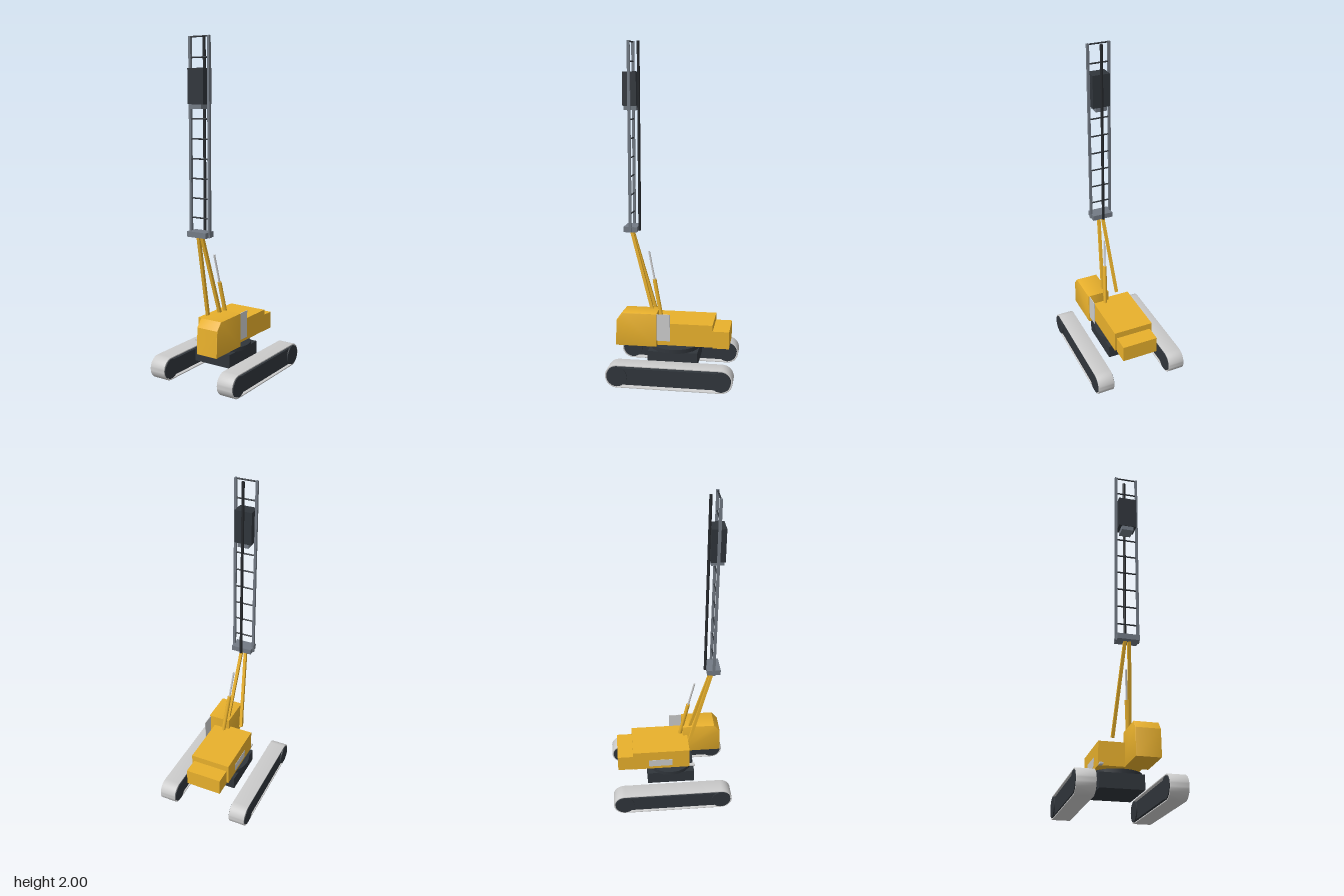
import * as THREE from 'three';
import { toCreasedNormals } from 'three/addons/utils/BufferGeometryUtils.js';

const mat = (color) => new THREE.MeshStandardMaterial({ color });
const grey = mat(0xcccccc), yellow = mat(0xe8b02c), dark = mat(0x30353b);
const steel = mat(0x727a84), black = mat(0x26292d);

export function createModel() {
  const root = new THREE.Group();

  const add = (name, geometry, material, parent = root) => {
    const mesh = new THREE.Mesh(geometry, material);
    mesh.name = name;
    parent.add(mesh);
    return mesh;
  };
  // Box given by its limits on each axis
  const box = (name, material, x0, x1, y0, y1, z0, z1, parent) => {
    const mesh = add(name, new THREE.BoxGeometry(x1 - x0, y1 - y0, z1 - z0), material, parent);
    mesh.position.set((x0 + x1) / 2, (y0 + y1) / 2, (z0 + z1) / 2);
    return mesh;
  };
  // Bar between two points, round or square
  const bar = (name, material, a, b, size, square = false, parent = root) => {
    const from = new THREE.Vector3(...a), to = new THREE.Vector3(...b);
    const length = from.distanceTo(to);
    const geometry = square ? new THREE.BoxGeometry(size, length, size)
      : new THREE.CylinderGeometry(size, size, length, 16);
    const mesh = add(name, geometry, material, parent);
    mesh.position.lerpVectors(from, to, 0.5);
    mesh.quaternion.setFromUnitVectors(new THREE.Vector3(0, 1, 0), to.sub(from).normalize());
    return mesh;
  };
  // Side profile in (z, y), extruded across x and centred on it
  const sideExtrude = (shape, width, bevel) => {
    const geometry = new THREE.ExtrudeGeometry(shape, {
      depth: width - 2 * bevel, curveSegments: 12, bevelSize: bevel, bevelThickness: bevel,
      bevelOffset: -bevel, bevelSegments: 2,
    });
    geometry.translate(0, 0, -(width - 2 * bevel) / 2).rotateY(-Math.PI / 2);
    return toCreasedNormals(geometry, 0.6);
  };

  // Crawler tracks
  const half = 0.305, mid = 0.07;
  const stadium = (Kind, r) => {
    const path = new Kind();
    path.moveTo(-half, -r);
    path.lineTo(half, -r);
    path.absarc(half, 0, r, -Math.PI / 2, Math.PI / 2, false);
    path.lineTo(-half, r);
    path.absarc(-half, 0, r, Math.PI / 2, Math.PI * 1.5, false);
    return path;
  };
  for (const side of [-1, 1]) {
    const track = new THREE.Group();
    track.name = side > 0 ? 'leftTrack' : 'rightTrack';
    track.position.set(side * 0.24, mid, 0);
    root.add(track);
    const belt = stadium(THREE.Shape, 0.07);
    belt.holes.push(stadium(THREE.Path, 0.062));
    add('trackBelt', sideExtrude(belt, 0.104, 0.003), grey, track);
    box('trackFrame', dark, -0.048, 0.048, -0.05, 0.05, -half, half, track);
    for (const z of [-half, half]) {
      const wheel = add('trackWheel', new THREE.CylinderGeometry(0.06, 0.06, 0.11, 24), dark, track);
      wheel.rotation.z = Math.PI / 2;
      wheel.position.z = z;
    }
  }

  // Undercarriage and turntable
  box('undercarriage', dark, -0.125, 0.125, 0.088, 0.172, -0.15, 0.15);
  const ring = add('turntable', new THREE.CylinderGeometry(0.15, 0.15, 0.024, 20), dark);
  ring.position.y = 0.184;
  ring.rotation.y = Math.PI / 2;

  // Upper body
  box('engineHousing', yellow, -0.125, 0.125, 0.215, 0.35, -0.24, 0.118);
  box('counterweight', yellow, -0.112, 0.112, 0.205, 0.31, -0.338, -0.24);
  box('sideGrille', grey, -0.127, -0.12, 0.235, 0.285, -0.14, 0.01);
  box('step', grey, -0.124, -0.104, 0.214, 0.224, 0.115, 0.154);

  // Cab with sloped front, and its swung-back door
  const profile = new THREE.Shape([[0.09, 0.215], [0.337, 0.215], [0.33, 0.372], [0.293, 0.417], [0.09, 0.417]]
    .map(([z, y]) => new THREE.Vector2(z, y)));
  add('cab', sideExtrude(profile, 0.14, 0.003), yellow).position.x = 0.093;
  box('cabDoor', grey, 0.153, 0.157, 0.252, 0.415, 0.01, 0.092);

  // Boom arms and lifting cylinder
  for (const side of [-1, 1]) {
    bar('boomArm', yellow, [side * 0.048, 0.37, 0.124], [side * 0.012, 0.89, 0.265], 0.018, true);
  }
  bar('liftCylinder', yellow, [0.055, 0.34, 0.072], [0.034, 0.595, 0.122], 0.012);
  bar('liftRod', grey, [0.034, 0.595, 0.122], [0.021, 0.764, 0.157], 0.006);

  // Mast: foot, rails, rungs and centre rod
  const mast = new THREE.Group();
  mast.name = 'mast';
  root.add(mast);
  box('mastFoot', steel, -0.064, 0.064, 0.885, 0.917, 0.222, 0.303, mast);
  box('mastFootPlate', steel, -0.07, 0.07, 0.887, 0.915, 0.252, 0.272, mast);
  for (const x of [-0.0635, 0.0635]) {
    box('mastRail', steel, x - 0.007, x + 0.007, 0.885, 2, 0.254, 0.27, mast);
  }
  for (let i = 0; i < 10; i++) {
    const y = 0.993 + i * 0.1114;
    bar('mastRung', dark, [-0.06, y, 0.262], [0.06, y, 0.262], 0.0045, false, mast);
  }
  bar('centreRod', black, [0, 0.885, 0.217], [0, 2, 0.217], 0.0085, false, mast);

  // Hammer riding on the mast
  box('hammer', dark, -0.053, 0.053, 1.63, 1.826, 0.222, 0.303, mast);
  box('hammerCap', steel, -0.035, 0.035, 1.604, 1.63, 0.225, 0.299, mast);

  return root;
}
